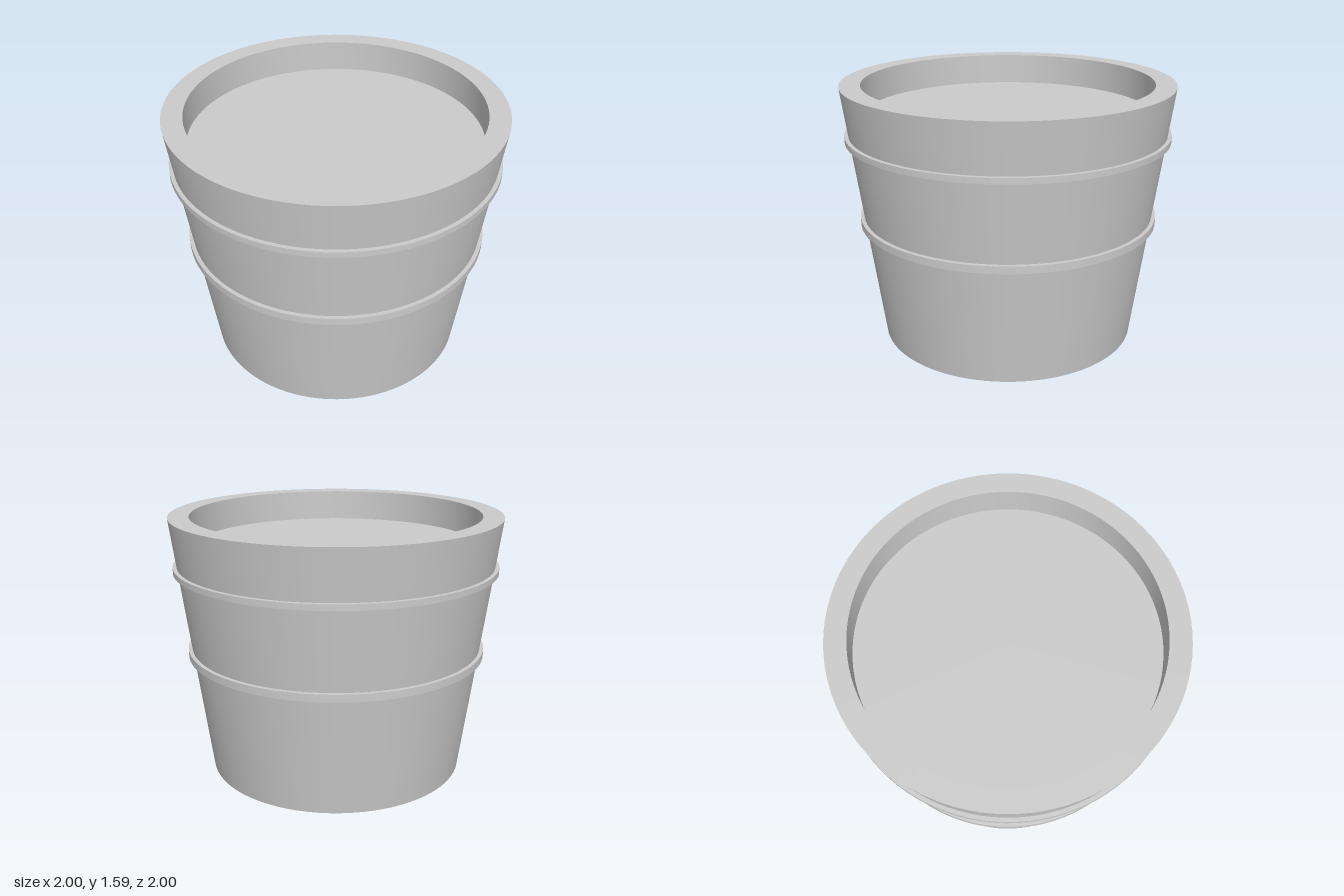
import * as THREE from 'three';
import { toCreasedNormals } from 'three/addons/utils/BufferGeometryUtils.js';

const HEIGHT = 1.59, BASE_RADIUS = 0.79, RIM_RADIUS = 1, SEGMENTS = 96;
const material = new THREE.MeshStandardMaterial({ color: 0xcccccc });

// Revolves an [radius, height] profile, smooth around and sharp at its corners
function turned(name, profile) {
  const points = profile.map(([r, y]) => new THREE.Vector2(r, y));
  const geometry = toCreasedNormals(new THREE.LatheGeometry(points, SEGMENTS), Math.PI / 6);
  const mesh = new THREE.Mesh(geometry, material);
  mesh.name = name;
  return mesh;
}

// Flat hoop with a vertical face, sunk slightly into the sloping wall
function hoop(name, bottom, top, radius) {
  const wall = BASE_RADIUS + (RIM_RADIUS - BASE_RADIUS) * bottom / HEIGHT;
  const inner = wall - 0.02;
  return turned(name, [[inner, bottom], [radius, bottom], [radius, top], [inner, top], [inner, bottom]]);
}

export function createModel() {
  const model = new THREE.Group();
  model.name = 'planterTub';

  // Tapered wall, closed base and thick flat rim with a straight inner wall
  model.add(turned('tub', [
    [0, 0], [BASE_RADIUS, 0], [RIM_RADIUS, HEIGHT], [0.875, HEIGHT], [0.875, 1.4],
  ]));

  // Flat filling recessed below the rim
  model.add(turned('filling', [[0.875, 1.4], [0, 1.4]]));

  // Hoops around the wall
  model.add(hoop('lowerHoop', 0.735, 0.78, 0.917));
  model.add(hoop('upperHoop', 1.26, 1.295, 0.985));

  return model;
}
